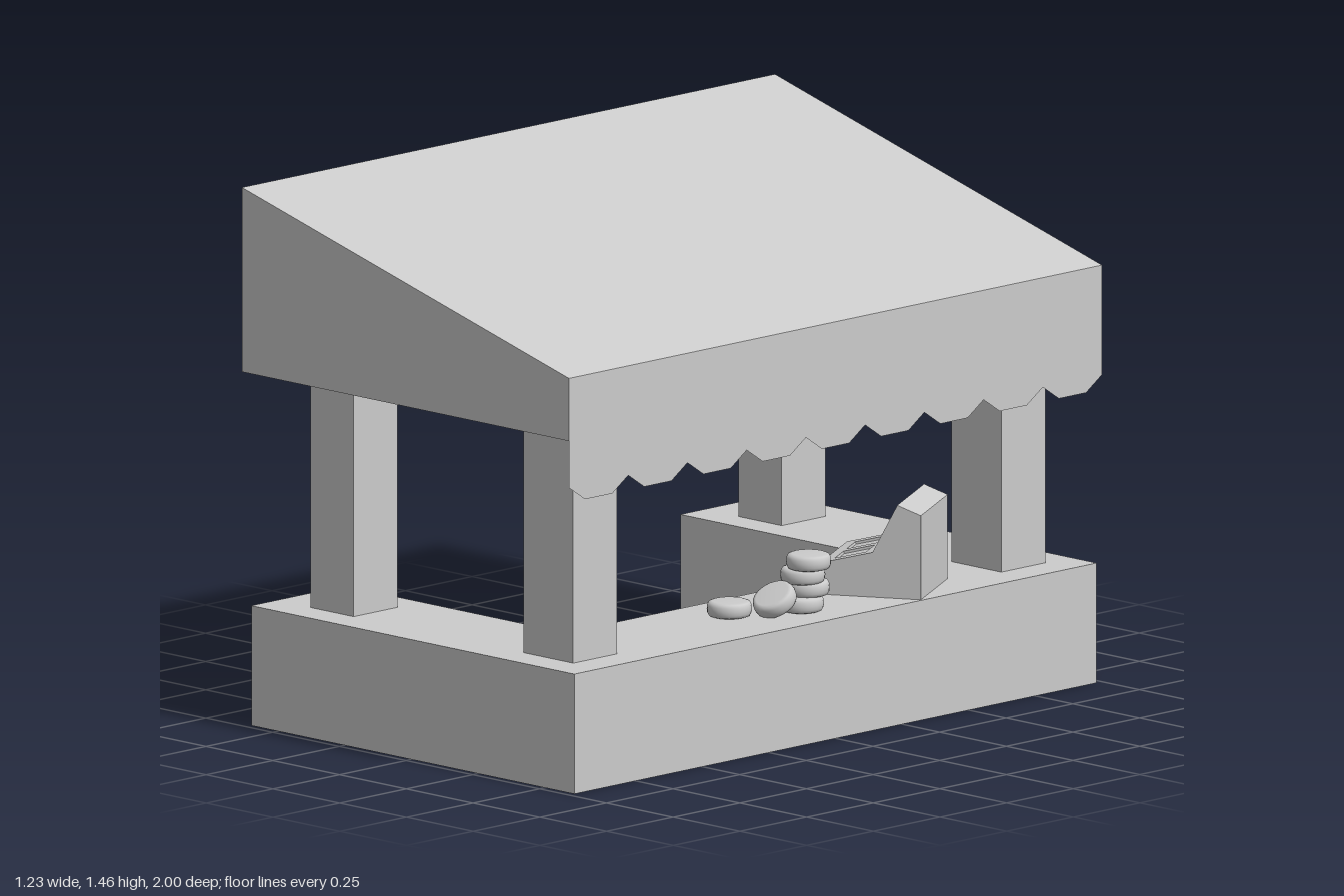
import * as THREE from 'three';

const material = new THREE.MeshStandardMaterial({ color: 0xcccccc });
const thinMaterial = new THREE.MeshStandardMaterial({ color: 0xcccccc, side: THREE.DoubleSide });

const toShape = (points) => new THREE.Shape(points.map(([x, y]) => new THREE.Vector2(x, y)));
const extrude = (shape, depth) => new THREE.ExtrudeGeometry(shape, { depth, bevelEnabled: false });

function add(parent, name, geometry, mat = material) {
  const mesh = new THREE.Mesh(geometry, mat);
  mesh.name = name;
  parent.add(mesh);
  return mesh;
}

// Flat frame with rectangular openings, laid on the slope from p to q
function slopeFrame(parent, name, p, q, width, openings) {
  const length = Math.hypot(q[0] - p[0], q[1] - p[1]);
  const rect = (x0, y0, x1, y1) => [[x0, y0], [x1, y0], [x1, y1], [x0, y1]];
  const shape = toShape(rect(0, -width, length, 0));
  for (const [u0, v0, u1, v1] of openings) {
    shape.holes.push(toShape(rect(u0 * length, -v1 * width, u1 * length, -v0 * width)));
  }
  const frame = add(parent, name, extrude(shape, 0.007));
  const along = new THREE.Vector3((q[0] - p[0]) / length, (q[1] - p[1]) / length, 0);
  const normal = new THREE.Vector3(-along.y, along.x, 0);
  frame.quaternion.setFromRotationMatrix(
    new THREE.Matrix4().makeBasis(along, new THREE.Vector3(0, 0, -1), normal));
  frame.position.set(p[0], p[1], 0);
}

// Cash register: side profile runs from its back (0) to its front
function createRegister() {
  const register = new THREE.Group();
  register.name = 'cashRegister';
  const width = 0.276;
  const ridge = [0.058, 0.25], kink = [0.128, 0.115], front = [0.275, 0.078];
  add(register, 'registerBody', extrude(
    toShape([[0, 0], [0.275, 0], front, kink, ridge, [0, 0.228]]), width));
  slopeFrame(register, 'displayFrame', ridge, kink, width, [[0.14, 0.1, 0.84, 0.9]]);
  slopeFrame(register, 'keypadFrame', kink, front, width,
    [[0.2, 0.12, 0.78, 0.44], [0.2, 0.56, 0.78, 0.88]]);
  return register;
}

export function createModel() {
  const model = new THREE.Group();
  model.name = 'marketStall';

  // U-shaped counter, open toward -x
  const counter = add(model, 'counter', extrude(toShape([
    [-0.6, -0.98], [0.61, -0.98], [0.61, 0.98], [-0.6, 0.98],
    [-0.6, 0.63], [0.23, 0.63], [0.23, -0.63], [-0.6, -0.63]]), 0.325));
  counter.rotation.x = -Math.PI / 2;

  // Four posts, thicker on the serving side
  for (const z of [-0.803, 0.803]) {
    for (const [x, w, name] of [[-0.392, 0.162, 'rearPost'], [0.418, 0.187, 'servingPost']]) {
      add(model, name, new THREE.BoxGeometry(w, 0.64, 0.165)).position.set(x, 0.643, z);
    }
  }

  // Wedge roof with flat underside
  const roof = add(model, 'roof', extrude(
    toShape([[-0.615, 0.96], [0.61, 0.96], [0.61, 1.13], [-0.615, 1.46]]), 2));
  roof.position.z = -1;

  // Scalloped cloth edge on the serving side
  const count = 9, step = 2 / count;
  const edge = [[1, 0.96], [-1, 0.96], [-1, 0.833]];
  for (let i = 0; i < count; i++) {
    const x = -1 + i * step;
    edge.push([x + step * 0.27, 0.793], [x + step * 0.73, 0.793], [x + step, 0.833]);
  }
  const valance = add(model, 'valance', new THREE.ShapeGeometry(toShape(edge)), thinMaterial);
  valance.rotation.y = Math.PI / 2;
  valance.position.x = 0.61;

  const register = createRegister();
  register.position.set(0.605, 0.325, -0.325);
  register.rotation.y = Math.PI * 7 / 6;
  model.add(register);

  // Round goods: a stack, one leaning on it and one lying apart
  const half = [[0, -0.021], [0.046, -0.021], [0.055, -0.018], [0.059, -0.01], [0.06, 0]];
  const profile = [...half, ...half.slice(0, -1).reverse().map(([r, y]) => [r, -y])];
  const puck = new THREE.LatheGeometry(profile.map(([r, y]) => new THREE.Vector2(r, y)), 24);
  const places = [
    [0.477, 0.347, -0.005], [0.477, 0.387, -0.027], [0.475, 0.423, -0.012], [0.497, 0.463, -0.012],
    [0.39, 0.347, 0.178], [0.465, 0.367, 0.083, 0.58]];
  for (const [x, y, z, tilt = 0] of places) {
    const item = add(model, 'roundGood', puck);
    item.position.set(x, y, z);
    item.rotation.x = tilt;
  }
  return model;
}
